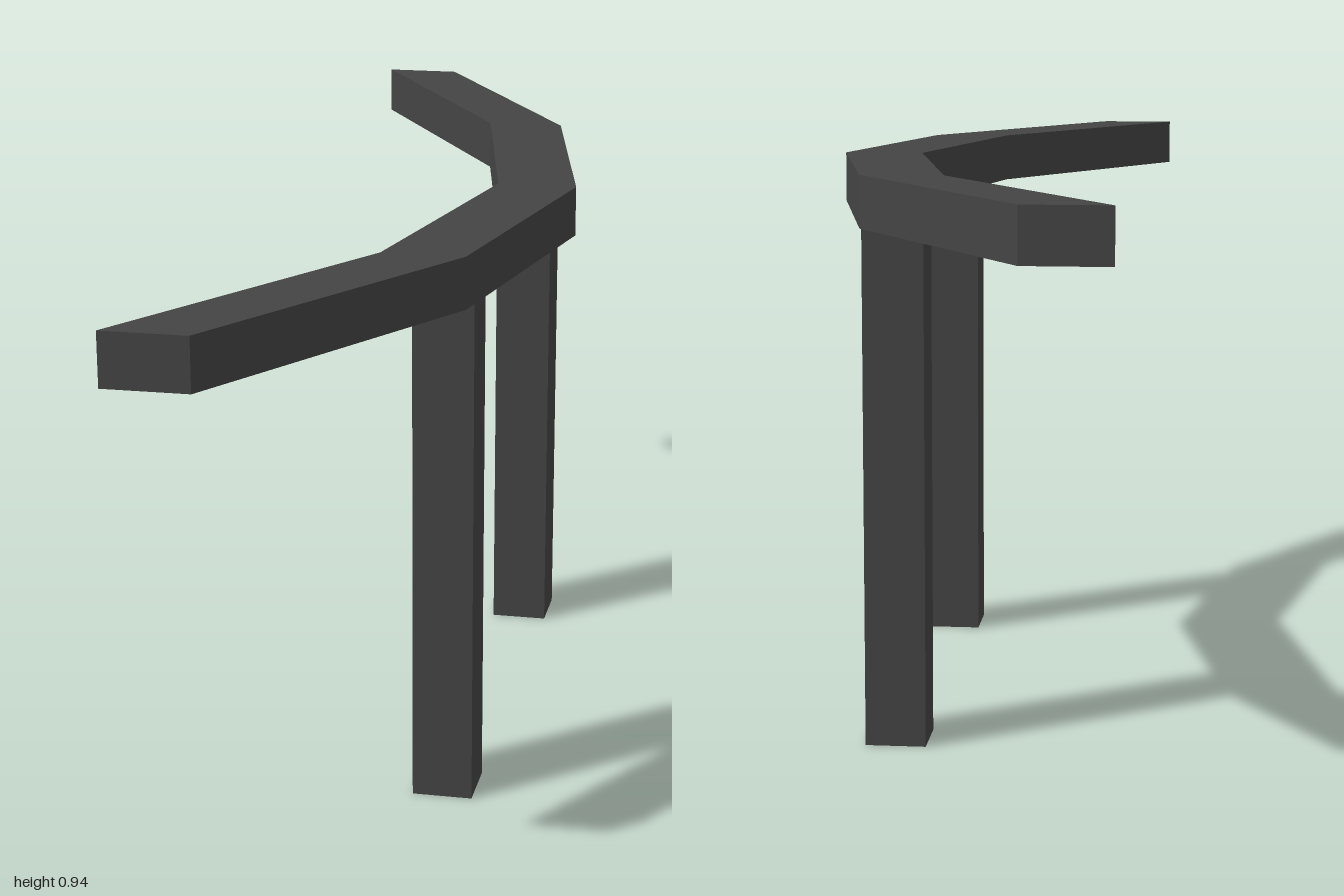
import * as THREE from 'three';

export function createModel() {
  const model = new THREE.Group();
  const material = new THREE.MeshStandardMaterial({ color: 0x444444, flatShading: true });
  const postHeight = 0.86, barHeight = 0.085, barWidth = 0.135;

  // Bent top bar: a faceted centre line given equal width in x, extruded upwards
  const line = [[-0.2, -1], [0.0975, -0.5], [0.1975, 0], [0.0975, 0.5], [-0.2, 1]];
  const side = (dx) => line.map(([x, y]) => new THREE.Vector2(x + dx, y));
  const outline = new THREE.Shape([...side(barWidth / 2), ...side(-barWidth / 2).reverse()]);
  const barGeometry = new THREE.ExtrudeGeometry(outline, { depth: barHeight, bevelEnabled: false });
  barGeometry.rotateX(-Math.PI / 2);
  const bar = new THREE.Mesh(barGeometry, material);
  bar.name = 'topBar';
  bar.position.y = postHeight;
  model.add(bar);

  // Two square posts under the bar
  const postGeometry = new THREE.BoxGeometry(0.1, postHeight, 0.1);
  for (const [name, z] of [['frontPost', 0.4], ['backPost', -0.4]]) {
    const post = new THREE.Mesh(postGeometry, material);
    post.name = name;
    post.position.set(0.12, postHeight / 2, z);
    model.add(post);
  }
  return model;
}
